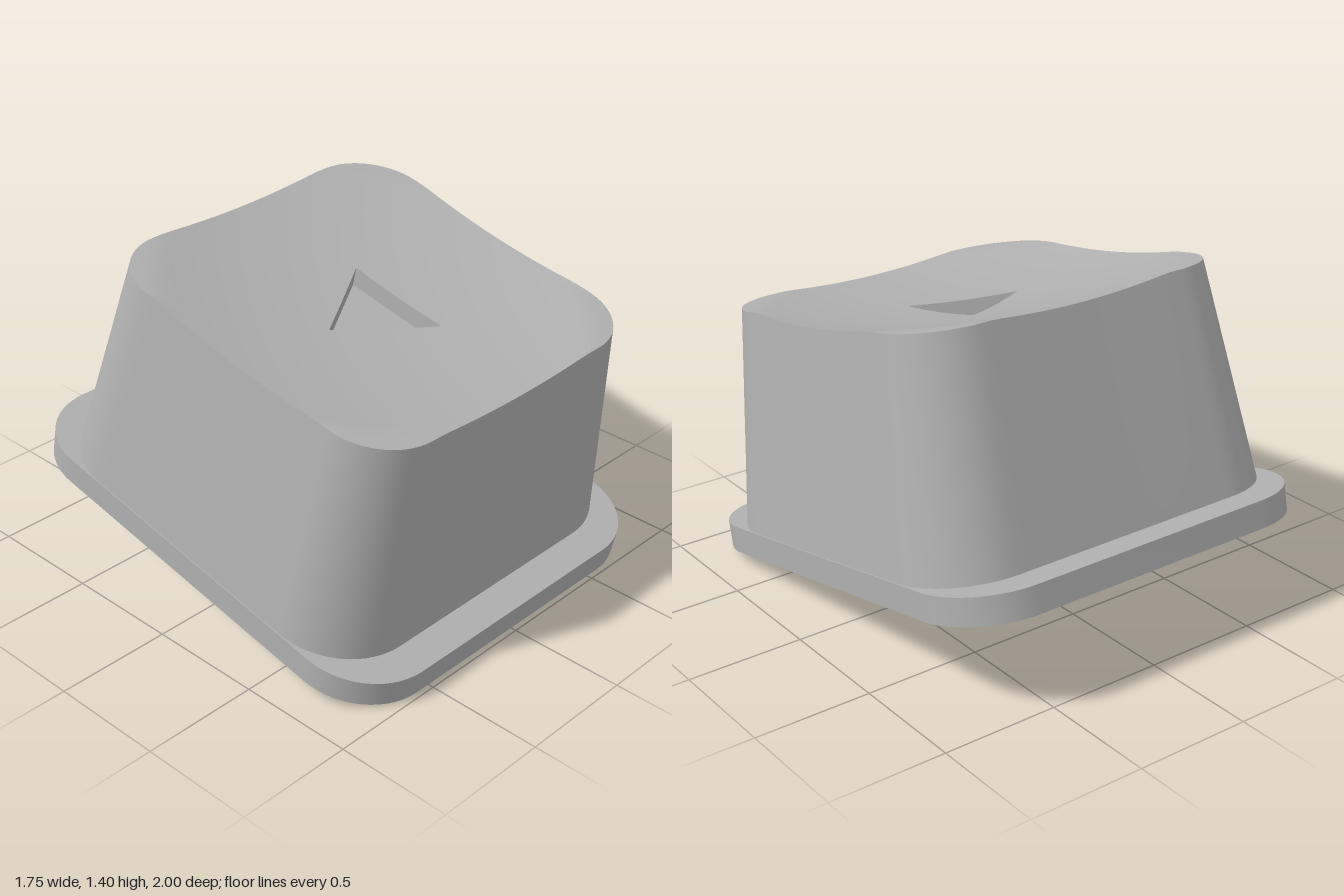
import * as THREE from 'three';
import { toCreasedNormals } from 'three/addons/utils/BufferGeometryUtils.js';

const TILT = 0.212, PLATE = 0.115, RIM = 1.05, DISH_RADIUS = 0.87, DISH_DEPTH = 0.095;
const POCKET_FLOOR = 0.88, HOLE_RADIUS = 0.305, HOLE_TOP = 0.315;
const TRIANGLE = [[0.16, 0.237], [-0.237, 0], [0.16, -0.237]], CENTRE = [0.03, 0];

// Height of the spherical dish that is cut into the flat cap top
const dish = (x, z) => RIM - Math.max(0, DISH_DEPTH * (1 - (x * x + z * z) / DISH_RADIUS ** 2));

// Rounded rectangle as a loop of [x, z], running from +x towards +z
function outline(hw, hd, r, arc = 14, side = 20) {
  const corners = [[1, 1], [-1, 1], [-1, -1], [1, -1]], pts = [];
  const corner = (c, t) => {
    const a = (c % 4 + t) * Math.PI / 2, [sx, sz] = corners[c % 4];
    return [sx * (hw - r) + r * Math.cos(a), sz * (hd - r) + r * Math.sin(a)];
  };
  for (let c = 0; c < 4; c++) {
    for (let i = 0; i < arc; i++) pts.push(corner(c, i / arc));
    const p = corner(c, 1), q = corner(c + 1, 0);
    for (let i = 0; i < side; i++) pts.push([0, 1].map(k => p[k] + (q[k] - p[k]) * i / side));
  }
  return pts;
}

// Pull an outer loop onto the triangle, keeping its three corners exact
function toTriangle(loop) {
  const pts = loop.map(([x, z]) => {
    const dx = x - CENTRE[0], dz = z - CENTRE[1];
    let t = Infinity;
    TRIANGLE.forEach((p, i) => {
      const q = TRIANGLE[(i + 1) % 3], nx = q[1] - p[1], nz = p[0] - q[0];
      const along = dx * nx + dz * nz, dist = (p[0] - CENTRE[0]) * nx + (p[1] - CENTRE[1]) * nz;
      if (dist / along > 0) t = Math.min(t, dist / along);
    });
    return [CENTRE[0] + dx * t, CENTRE[1] + dz * t];
  });
  for (const c of TRIANGLE) {
    const d = pts.map(p => Math.hypot(p[0] - c[0], p[1] - c[1]));
    pts[d.indexOf(Math.min(...d))] = c;
  }
  return pts;
}

// Lift a flat loop to a height or height function
const lift = (loop, y) => loop.map(([x, z]) => [x, typeof y === 'function' ? y(x, z) : y, z]);

// Skin a series of equal closed loops
function loft(rings) {
  const n = rings[0].length, index = [];
  for (let j = 0; j < rings.length - 1; j++) {
    for (let i = 0; i < n; i++) {
      const a = j * n + i, b = j * n + (i + 1) % n;
      index.push(a, a + n, b, b, a + n, b + n);
    }
  }
  const g = new THREE.BufferGeometry();
  g.setAttribute('position', new THREE.Float32BufferAttribute(rings.flat(2), 3));
  g.setIndex(index);
  return toCreasedNormals(g, 0.6);
}

export function createModel() {
  const grey = new THREE.MeshStandardMaterial({ color: 0xb0b0b0 });
  grey.name = 'grey';
  const model = new THREE.Group();
  model.name = 'keycap';
  const cap = new THREE.Group();
  cap.name = 'tiltedCap';
  cap.rotation.x = TILT;
  cap.position.set(0, 0.213, -0.012);
  model.add(cap);
  const add = (name, geometry) => {
    const mesh = new THREE.Mesh(geometry, grey);
    mesh.name = name;
    cap.add(mesh);
  };

  // Base flange with a rectangular recess through it
  const vectors = loop => loop.map(([x, z]) => new THREE.Vector2(x, z));
  const shape = new THREE.Shape(vectors(outline(0.875, 1.01, 0.31, 14, 1)));
  shape.holes.push(new THREE.Path(vectors(outline(0.45, 0.52, 0.05, 6, 1))));
  const plate = new THREE.ExtrudeGeometry(shape, { depth: PLATE, bevelEnabled: false });
  add('baseFlange', toCreasedNormals(plate.rotateX(-Math.PI / 2), 0.6));

  // Tapered walls
  const bottom = outline(0.87, 0.866, 0.33), top = outline(0.76, 0.76, 0.27);
  add('taperedWalls', loft([lift(bottom, PLATE), lift(top, dish)]));

  // Dished top surface around the triangular opening
  const tri = toTriangle(top), rings = [];
  for (let k = 0; k <= 16; k++) {
    const t = k / 16;
    rings.push(lift(top.map((p, i) => p.map((v, m) => v + (tri[i][m] - v) * t)), dish));
  }
  add('dishedTop', loft(rings));

  // Triangular pocket: walls and flat floor
  add('trianglePocket', loft([lift(tri, dish), lift(tri, POCKET_FLOOR),
    lift(tri.map(() => CENTRE), POCKET_FLOOR)]));

  // Underside with a round blind socket
  const circle = bottom.map((_, i) => {
    const a = i / bottom.length * Math.PI * 2;
    return [HOLE_RADIUS * Math.cos(a), HOLE_RADIUS * Math.sin(a)];
  });
  add('undersideSocket', loft([lift(circle.map(() => [0, 0]), HOLE_TOP), lift(circle, HOLE_TOP),
    lift(circle, PLATE), lift(bottom, PLATE)]));

  return model;
}
